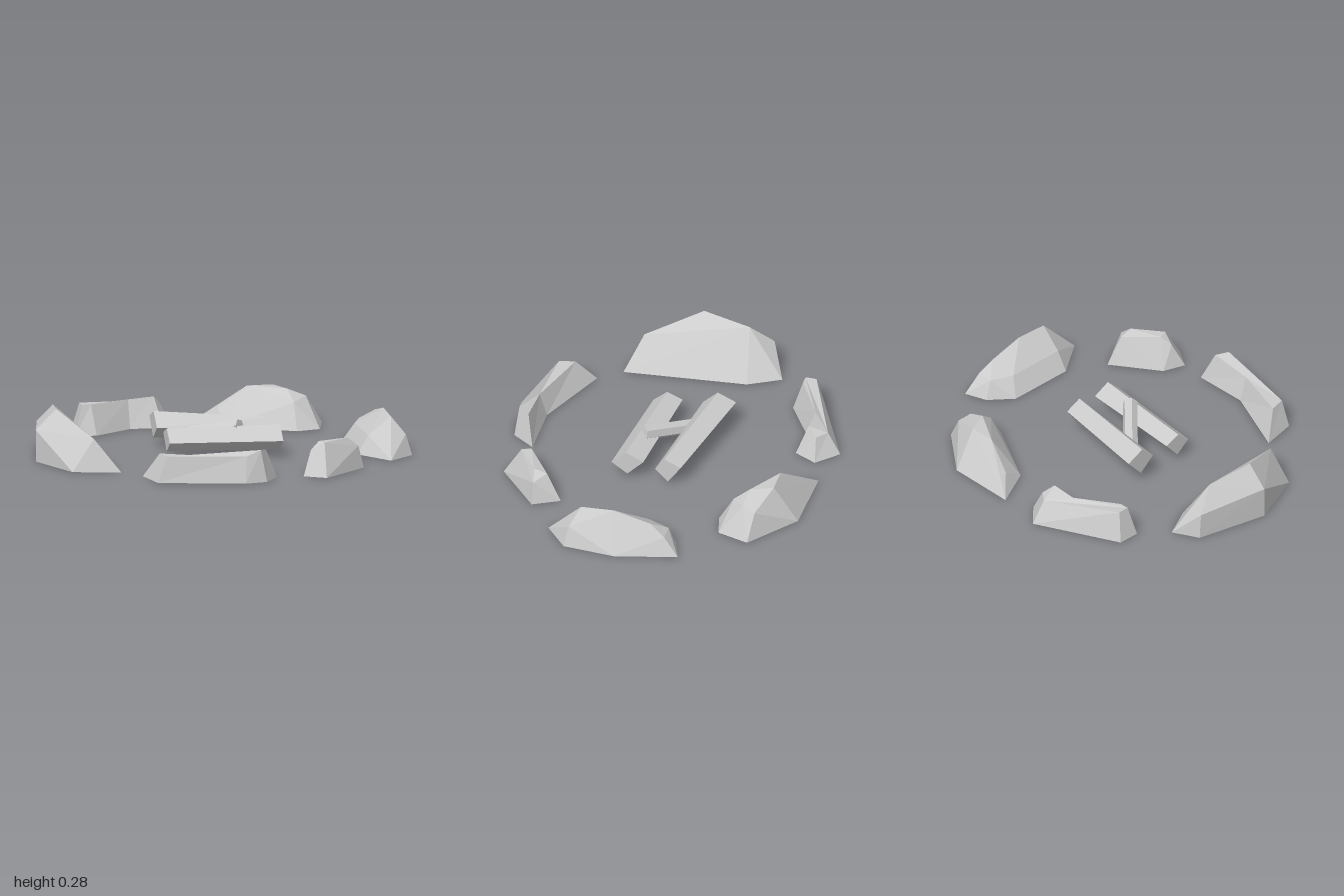
import * as THREE from 'three';
import { ConvexGeometry } from 'three/addons/geometries/ConvexGeometry.js';

const material = new THREE.MeshStandardMaterial({ color: 0xcccccc, flatShading: true });

// Faceted solid wrapped around a few [x, y, z] corners
function hull(name, points) {
  const mesh = new THREE.Mesh(new ConvexGeometry(points.map((p) => new THREE.Vector3(...p))), material);
  mesh.name = name;
  return mesh;
}

// Straight-sided stone: ground outline of [x, z] plus crest corners
function stone(name, base, crest) {
  return hull(name, [...base.map(([x, z]) => [x, 0, z]), ...crest]);
}

// Bent stone: ground outline joined to a crest outline with equal corner count
function bentStone(name, base, crest) {
  const n = base.length;
  const corners = [...base.map(([x, z]) => [x, 0, z]), ...crest];
  const flat = corners.map(([x, , z]) => new THREE.Vector2(x, z));
  const clockwise = THREE.ShapeUtils.area(flat.slice(0, n)) > 0;
  const index = [];
  for (let i = 0; i < n; i++) {
    const j = (i + 1) % n;
    const [a, b] = clockwise ? [j, i] : [i, j];
    index.push(a, b, b + n, a, b + n, a + n);
  }
  for (const offset of [0, n]) {
    for (const face of THREE.ShapeUtils.triangulateShape(flat.slice(offset, offset + n), [])) {
      const tri = face.map((k) => k + offset);
      const up = THREE.ShapeUtils.area(tri.map((k) => flat[k])) < 0;
      if (up !== (offset === n)) tri.reverse();
      index.push(...tri);
    }
  }
  let geometry = new THREE.BufferGeometry();
  geometry.setAttribute('position', new THREE.Float32BufferAttribute(corners.flat(), 3));
  geometry.setIndex(index);
  geometry = geometry.toNonIndexed();
  geometry.computeVertexNormals();
  const mesh = new THREE.Mesh(geometry, material);
  mesh.name = name;
  return mesh;
}

// Four-sided log standing on edge; each end is [x, zBack, zRidge, zFront, yTop, ySide, yBottom]
function log(name, ...ends) {
  return hull(name, ends.flatMap(([x, back, ridge, front, top, side, bottom]) => [
    [x, top, ridge], [x, side, front], [x, bottom, (back + front) / 2], [x, side + 0.03, back],
  ]));
}

export function createModel() {
  const model = new THREE.Group();
  model.name = 'campfireRing';

  // Ring of stones
  const stones = new THREE.Group();
  stones.name = 'stones';
  stones.add(
    stone('rightStone',
      [[-0.91, -0.33], [-0.77, -0.40], [-0.68, -0.23], [-0.62, 0.43], [-0.87, 0.37], [-1, 0.06]],
      [[-0.89, 0.28, 0.06], [-0.85, 0.25, -0.2], [-0.75, 0.17, 0.35], [-1, 0.17, 0.06], [-0.91, 0.14, -0.32]]),
    stone('leftStone',
      [[0.70, 0.25], [0.70, -0.12], [0.80, -0.24], [0.92, -0.28], [1, 0.05], [0.98, 0.33], [0.84, 0.45]],
      [[0.88, 0.20, 0.26], [0.88, 0.21, 0.08], [0.88, 0.16, -0.12], [0.81, 0.1, -0.2],
        [0.9, 0.1, -0.2], [0.95, 0.11, 0.31], [0.76, 0.1, 0.25], [0.76, 0.1, -0.08]]),
    stone('frontLeftStone',
      [[0.30, 0.74], [0.41, 0.81], [0.66, 0.59], [0.59, 0.45], [0.34, 0.62]],
      [[0.42, 0.17, 0.71], [0.40, 0.17, 0.66], [0.57, 0.17, 0.60], [0.57, 0.15, 0.53],
        [0.63, 0.12, 0.59], [0.35, 0.13, 0.69]]),
    stone('backLeftStone',
      [[0.06, -0.82], [0.44, -0.81], [0.70, -0.60], [0.65, -0.43], [0.52, -0.40], [0.17, -0.60]],
      [[0.31, 0.2, -0.68], [0.50, 0.2, -0.56], [0.45, 0.2, -0.68], [0.62, 0.14, -0.62],
        [0.6, 0.16, -0.55], [0.52, 0.14, -0.48], [0.16, 0.08, -0.72]]),
    bentStone('frontRightStone',
      [[-0.53, 0.55], [-0.49, 0.74], [-0.04, 0.86], [0.08, 0.84], [0.16, 0.72], [-0.14, 0.72]],
      [[-0.46, 0.14, 0.65], [-0.44, 0.14, 0.735], [-0.03, 0.14, 0.83], [0.05, 0.17, 0.82],
        [0.09, 0.16, 0.76], [-0.14, 0.13, 0.76]]),
    bentStone('backRightStone',
      [[-0.65, -0.66], [-0.65, -0.54], [-0.54, -0.52], [-0.33, -0.65], [-0.15, -0.64], [-0.09, -0.76], [-0.20, -0.87]],
      [[-0.61, 0.16, -0.63], [-0.61, 0.16, -0.57], [-0.56, 0.16, -0.57], [-0.33, 0.15, -0.70],
        [-0.19, 0.16, -0.70], [-0.15, 0.12, -0.75], [-0.21, 0.12, -0.80]]),
  );

  // Two logs with a thin stick leaning across them
  const firewood = new THREE.Group();
  firewood.name = 'firewood';
  firewood.add(
    log('backLog', [-0.31, -0.27, -0.17, -0.09, 0.195, 0.12, 0.05], [0.30, -0.13, -0.04, 0.01, 0.16, 0.09, 0.02]),
    log('frontLog', [-0.30, 0.02, 0.105, 0.18, 0.155, 0.09, 0.03], [0.30, 0.075, 0.17, 0.25, 0.165, 0.09, 0.03]),
  );
  const foot = new THREE.Vector3(-0.15, 0.08, -0.1);
  const tip = new THREE.Vector3(0.09, 0.155, 0.13);
  const stick = new THREE.Mesh(new THREE.CylinderGeometry(0.04, 0.04, foot.distanceTo(tip), 6), material);
  stick.name = 'stick';
  stick.position.addVectors(foot, tip).multiplyScalar(0.5);
  stick.quaternion.setFromUnitVectors(new THREE.Vector3(0, 1, 0), tip.clone().sub(foot).normalize());
  firewood.add(stick);

  model.add(stones, firewood);
  return model;
}
